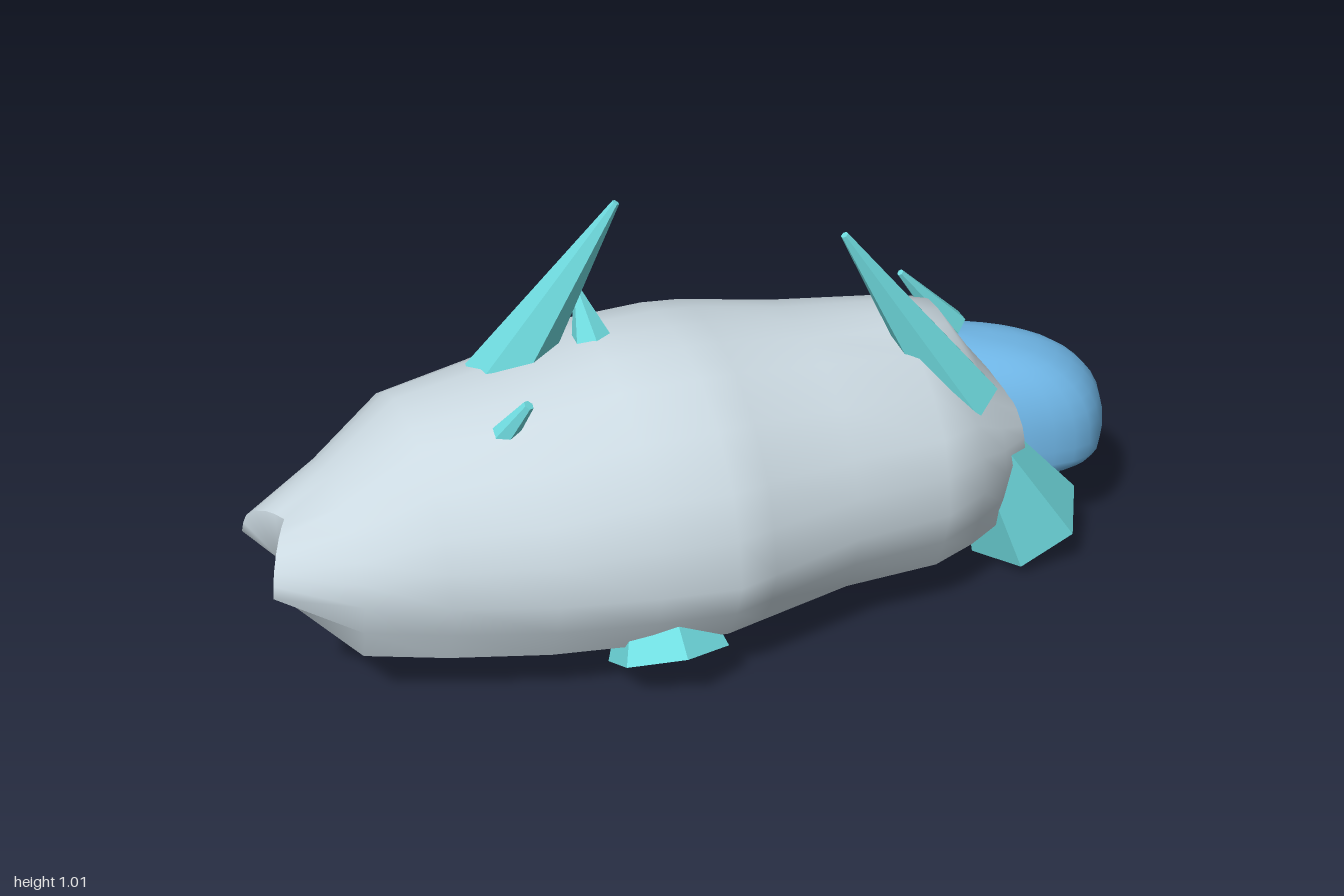
import * as THREE from 'three';

const shellMat = new THREE.MeshStandardMaterial({ color: 0xcbd9e1 });
shellMat.name = 'pale grey shell';
const headMat = new THREE.MeshStandardMaterial({ color: 0x6eb4e4 });
headMat.name = 'blue head';
const crystalMat = new THREE.MeshStandardMaterial({ color: 0x70dde1, flatShading: true });
crystalMat.name = 'teal crystal';

const mid = 0.3; // height of the widest line of the body

// Body stations: x, back z, front z, top y, bottom y
const stations = [
  [-1, -0.14, 0.14, 0.40, 0.24],
  [-0.83, -0.23, 0.24, 0.485, 0.15],
  [-0.66, -0.345, 0.31, 0.595, 0.137],
  [-0.45, -0.385, 0.385, 0.635, 0.135],
  [-0.24, -0.4, 0.43, 0.70, 0.135],
  [-0.07, -0.41, 0.455, 0.705, 0.135],
  [0.02, -0.408, 0.43, 0.692, 0.135],
  [0.24, -0.385, 0.368, 0.642, 0.135],
  [0.46, -0.31, 0.352, 0.635, 0.135],
  [0.57, -0.25, 0.295, 0.625, 0.135],
  [0.65, -0.2, 0.24, 0.51, 0.138],
  [0.735, -0.14, 0.16, 0.40, 0.18],
];

// Upper profile as width and height fractions, from front edge over the back
const half = [[0.82, -1], [0.93, -0.5], [1, 0], [0.95, 0.26], [0.87, 0.5], [0.67, 0.75], [0.42, 0.92], [0.2, 0.99]];
const upper = [...half, [0, 1], ...half.map(([s, u]) => [-s, u]).reverse()];
const lower = [[-0.82, -1], [-0.4, -1], [0, -1], [0.4, -1], [0.82, -1]];

function ring([x, back, front, top, bottom], profile, first) {
  const c = (front + back) / 2, w = (front - back) / 2;
  return profile.map(([s, u]) => {
    const px = x + (first ? 0.065 * (1 - Math.abs(s)) + (u < 0 ? -u * 0.07 : 0) : 0); // notched tail
    const py = mid + u * (u > 0 ? top - mid : mid - bottom);
    const pz = c + s * w;
    // Shallow dent where the front spike leaves the shell
    const dent = Math.exp(-((px - 0.58) ** 2 + (py - 0.53) ** 2 + (pz - 0.17) ** 2) / 0.01);
    return [px, py - 0.06 * dent, pz - 0.05 * dent];
  });
}

function toGeometry(points, index) {
  const g = new THREE.BufferGeometry();
  g.setAttribute('position', new THREE.Float32BufferAttribute(points.flat(), 3));
  g.setIndex(index);
  g.computeVertexNormals();
  return g;
}

function loft(profile) {
  const n = profile.length, index = [];
  const points = stations.flatMap((s, i) => ring(s, profile, i === 0));
  for (let i = 0; i < stations.length - 1; i++) {
    for (let k = 0; k < n - 1; k++) {
      const a = i * n + k, b = a + n;
      index.push(a, b, a + 1, b, b + 1, a + 1);
    }
  }
  return toGeometry(points, index);
}

// Fan closing one end of the body
function endCap(station, centre, isTail) {
  const rim = ring(station, upper, isTail), n = rim.length, index = [];
  for (let k = 0; k < n; k++) {
    const a = k + 1, b = (k + 1) % n + 1;
    index.push(0, ...(isTail ? [a, b] : [b, a]));
  }
  return toGeometry([centre, ...rim], index);
}

// Six-sided crystal between two points
function crystal(name, from, to, r0, r1, roll = 0) {
  const a = new THREE.Vector3(...from), b = new THREE.Vector3(...to);
  const dir = b.clone().sub(a);
  const mesh = new THREE.Mesh(new THREE.CylinderGeometry(r1, r0, dir.length(), 6).rotateY(roll), crystalMat);
  mesh.quaternion.setFromUnitVectors(new THREE.Vector3(0, 1, 0), dir.normalize());
  mesh.position.copy(a).add(b).multiplyScalar(0.5);
  mesh.name = name;
  return mesh;
}

export function createModel() {
  const model = new THREE.Group();
  model.name = 'crystalCreature';
  const add = (name, geometry, material) => {
    const mesh = new THREE.Mesh(geometry, material);
    mesh.name = name;
    model.add(mesh);
    return mesh;
  };

  // Body shell, flat belly and end faces
  add('bodyShell', loft(upper), shellMat);
  add('belly', loft(lower), shellMat);
  add('tailFace', endCap(stations[0], [-0.95, mid, 0], true), shellMat);
  add('noseFace', endCap(stations[stations.length - 1], [0.75, 0.29, 0.01], false), shellMat);

  // Head: a domed blob with a flattened underside, turned across the nose
  const blob = new THREE.SphereGeometry(1, 28, 20);
  const p = blob.attributes.position;
  const puff = (v, e) => Math.sign(v) * Math.abs(v) ** e;
  for (let i = 0; i < p.count; i++) {
    const y = p.getY(i);
    p.setXYZ(i,
      puff(p.getX(i), 0.76) * 0.35,
      y > 0 ? y ** 0.85 * 0.22 : puff(y, 0.6) * 0.105,
      puff(p.getZ(i), 0.76) * 0.17);
  }
  blob.computeVertexNormals();
  const head = add('head', blob, headMat);
  head.position.set(0.675, 0.257, -0.103);
  head.rotation.y = -0.49;

  // Back spikes: base, tip, base radius, tip radius
  const spikes = [
    [[-0.42, 0.57, -0.1], [-0.18, 1.015, 0], 0.085, 0.008],
    [[0.59, 0.44, 0.127], [0.295, 0.905, 0.113], 0.085, 0.009],
    [[0.655, 0.51, -0.085], [0.515, 0.68, -0.07], 0.038, 0.008],
    [[-0.485, 0.59, 0.14], [-0.44, 0.675, 0.178], 0.028, 0.012],
    [[-0.23, 0.67, -0.02], [-0.25, 0.795, -0.066], 0.05, 0.006],
  ];
  spikes.forEach(([a, b, r0, r1]) => model.add(crystal('backSpike', a, b, r0, r1)));

  // Feet: sole centre, outward direction, sole radius, length, top radius, roll
  const feet = [
    [[-0.19, 0.083, 0.33], [0, -0.89, 0.46], 0.135, 0.2, 0.06],
    [[-0.33, 0.08, -0.37], [0, -0.86, -0.5], 0.105, 0.2, 0.06, Math.PI / 6],
    [[-0.67, 0.073, -0.19], [-0.4, -0.9, -0.14], 0.16, 0.2, 0.1],
    [[0.485, 0.07, -0.19], [0.35, -0.88, -0.3], 0.09, 0.2, 0.06],
    [[0.765, 0.08, 0.115], [0.46, -0.88, -0.12], 0.14, 0.34, 0.055],
    [[0.875, 0.095, -0.105], [0.5, -0.85, -0.1], 0.112, 0.22, 0.06],
  ];
  feet.forEach(([sole, dir, r, len, topR, roll]) => {
    const top = sole.map((v, i) => v - dir[i] * len);
    model.add(crystal('foot', top, sole, topR, r, roll));
  });

  return model;
}
